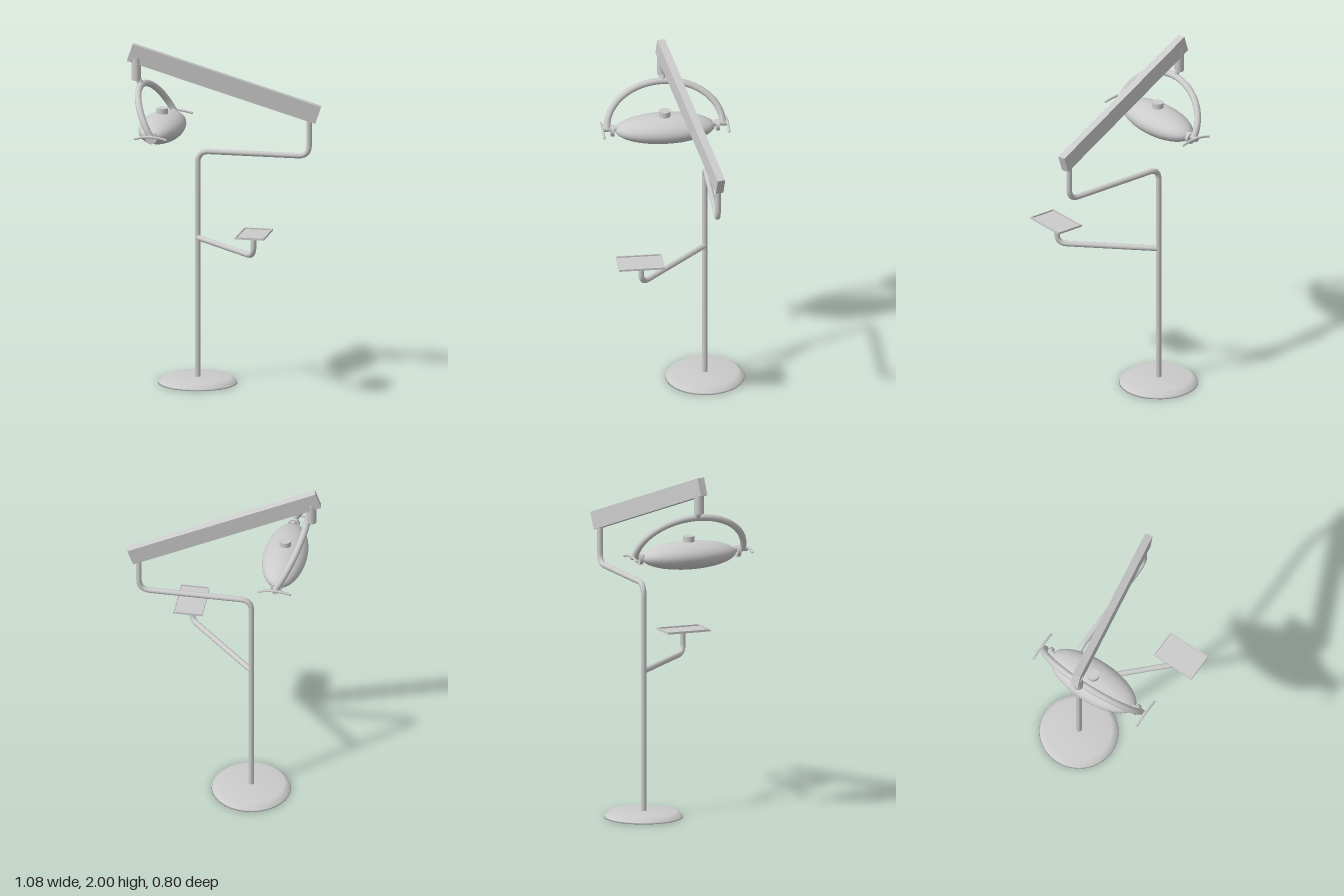
import * as THREE from 'three';

const V = (x, y, z) => new THREE.Vector3(x, y, z);

export function createModel() {
  const group = new THREE.Group();
  const mat = new THREE.MeshStandardMaterial({ color: 0xcccccc, side: THREE.DoubleSide });

  const add = (name, geo, x = 0, y = 0, z = 0) => {
    const m = new THREE.Mesh(geo, mat);
    m.name = name;
    m.position.set(x, y, z);
    group.add(m);
    return m;
  };

  // Pipe through the given corners, with each inner corner rounded
  const pipe = (name, pts, radius, bend) => {
    const path = new THREE.CurvePath();
    let from = pts[0];
    for (let i = 1; i < pts.length - 1; i++) {
      const a = pts[i].clone().add(pts[i - 1].clone().sub(pts[i]).setLength(bend));
      const b = pts[i].clone().add(pts[i + 1].clone().sub(pts[i]).setLength(bend));
      path.add(new THREE.LineCurve3(from, a));
      path.add(new THREE.QuadraticBezierCurve3(a, pts[i], b));
      from = b;
    }
    path.add(new THREE.LineCurve3(from, pts[pts.length - 1]));
    return add(name, new THREE.TubeGeometry(path, 120, radius, 12));
  };

  // Floor base
  const px = -0.175, pz = -0.175;
  const profile = [[0, 0], [0.225, 0], [0.222, 0.008], [0.188, 0.036], [0, 0.036]];
  add('base', new THREE.LatheGeometry(profile.map(p => new THREE.Vector2(...p)), 32), px, 0, pz);

  // Main pole, bent sideways and up again to carry the beam
  pipe('pole', [V(px, 0.02, pz), V(px, 1.345, pz), V(0.47, 1.345, pz), V(0.47, 1.59, pz)], 0.016, 0.065);

  // Tray arm and tray
  const tx = 0.238, tz = 0.24, tw = 0.167, td = 0.26;
  pipe('trayArm', [V(px, 0.842, pz), V(0.235, 0.842, 0.235), V(0.235, 0.971, 0.235)], 0.016, 0.06);
  add('trayFloor', new THREE.BoxGeometry(tw, 0.004, td), tx, 0.971, tz);
  for (const s of [-1, 1]) {
    add('trayRimSide', new THREE.BoxGeometry(0.007, 0.012, td), tx + s * (tw / 2 - 0.0035), 0.975, tz);
    add('trayRimEnd', new THREE.BoxGeometry(tw, 0.012, 0.007), tx, 0.975, tz + s * (td / 2 - 0.0035));
  }

  // Sloping beam between the pole and the lamp hanger
  const a = V(-0.522, 1.952, 0.041), b = V(0.52, 1.586, -0.184);
  const dir = b.clone().sub(a);
  const mid = a.clone().add(b).multiplyScalar(0.5);
  const beam = add('beam', new THREE.BoxGeometry(dir.length(), 0.102, 0.045), mid.x, mid.y, mid.z);
  const side = dir.clone().normalize().cross(V(0, 1, 0)).normalize();
  const up = side.clone().cross(dir).normalize();
  beam.quaternion.setFromRotationMatrix(
    new THREE.Matrix4().makeBasis(dir.clone().normalize(), up, side));

  // Hanger below the high end of the beam
  add('hanger', new THREE.CylinderGeometry(0.028, 0.028, 0.13, 16), -0.486, 1.855, 0.035);
  pipe('hangerJoint', [V(-0.482, 1.81, 0.035), V(-0.458, 1.765, 0.035)], 0.018, 0);

  // Lamp head with its top knob
  const lx = -0.335, ly = 1.525, lz = 0.035;
  const lamp = new THREE.SphereGeometry(1, 32, 20);
  lamp.scale(0.125, 0.08, 0.285);
  add('lampHead', lamp, lx, ly, lz);
  add('lampKnob', new THREE.CylinderGeometry(0.033, 0.033, 0.06, 20), lx, 1.605, lz);

  // Tilted half-oval yoke over the lamp
  const arch = [];
  for (let i = 0; i <= 20; i++) {
    const t = Math.PI * i / 20, h = Math.sin(t);
    arch.push(V(lx - 0.122 * h, 1.54 + 0.222 * h, lz + 0.33 * Math.cos(t)));
  }
  add('yoke', new THREE.TubeGeometry(new THREE.CatmullRomCurve3(arch), 48, 0.019, 10));

  // Pivot, end block and curved handle on each side of the lamp
  for (const s of [-1, 1]) {
    const disc = new THREE.CylinderGeometry(0.033, 0.033, 0.02, 20).rotateX(Math.PI / 2);
    add('pivotDisc', disc, lx, ly, lz + s * 0.3);
    const pin = new THREE.CylinderGeometry(0.016, 0.016, 0.085, 12).rotateX(Math.PI / 2);
    add('pivotPin', pin, lx, 1.537, lz + s * 0.314);
    const hz = lz + s * 0.356;
    const curve = new THREE.QuadraticBezierCurve3(V(-0.42, 1.53, hz), V(-0.33, 1.558, hz), V(-0.24, 1.53, hz));
    add('handle', new THREE.TubeGeometry(curve, 16, 0.007, 8));
    for (const x of [-0.42, -0.24]) add('handleTip', new THREE.SphereGeometry(0.007, 8, 6), x, 1.53, hz);
  }
  return group;
}
